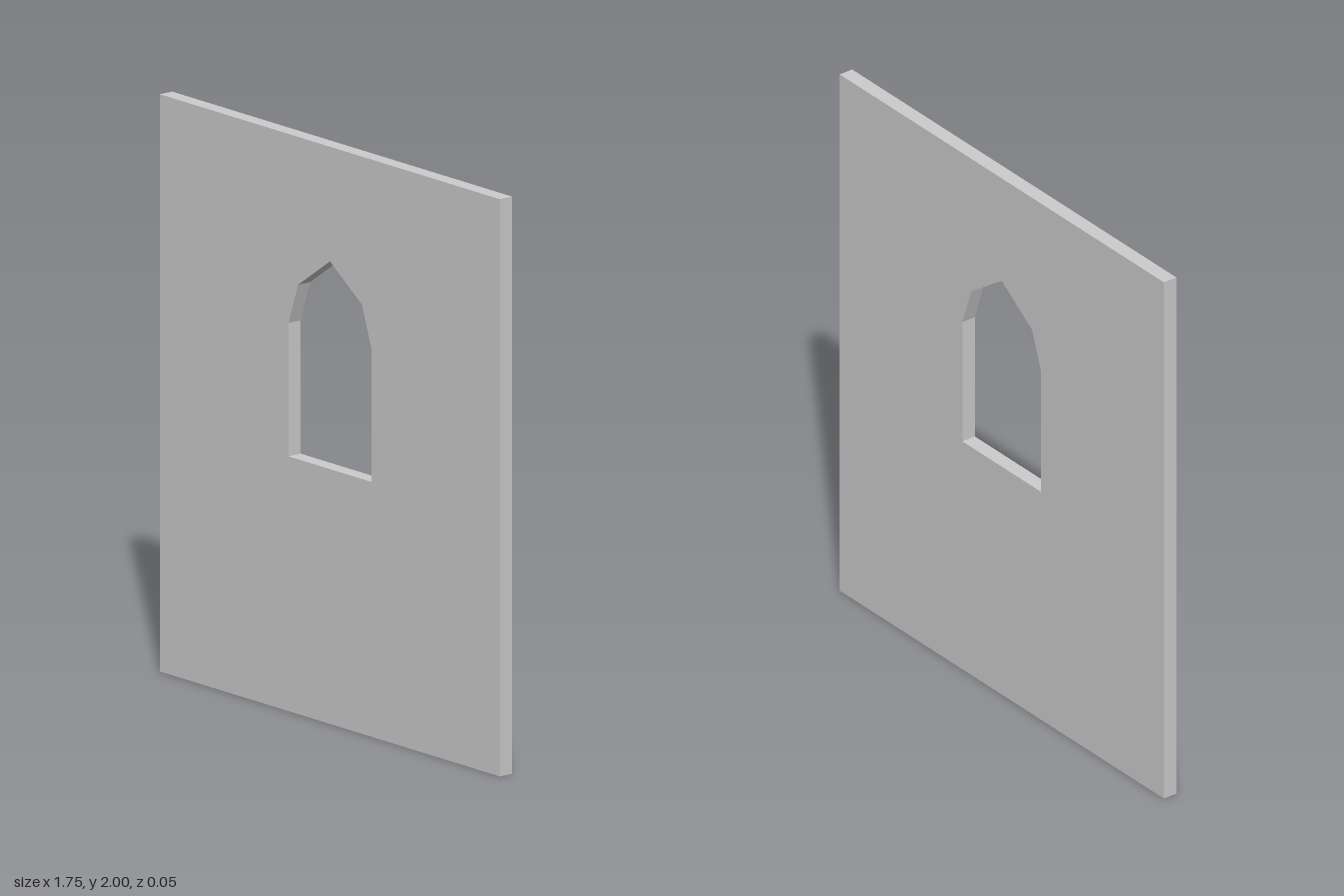
import * as THREE from 'three';

const WIDTH = 1.75, HEIGHT = 2, DEPTH = 0.053;

// Right half of the pointed window opening, from sill to shoulder
const JAMB = [[0.213, 0.883], [0.213, 1.345], [0.165, 1.487]];
const APEX = [0, 1.603];

const toPoints = (pairs) => pairs.map(([x, y]) => new THREE.Vector2(x, y));

export function createModel() {
  const group = new THREE.Group();
  group.name = 'wallWithWindow';

  // Wall outline
  const h = WIDTH / 2;
  const outline = new THREE.Shape(toPoints([[-h, 0], [h, 0], [h, HEIGHT], [-h, HEIGHT]]));

  // Pointed arch opening, mirrored about the apex
  const mirrored = JAMB.map(([x, y]) => [-x, y]).reverse();
  outline.holes.push(new THREE.Path(toPoints([...JAMB, APEX, ...mirrored])));

  // Flat slab, centred in depth
  const geometry = new THREE.ExtrudeGeometry(outline, { depth: DEPTH, bevelEnabled: false });
  geometry.translate(0, 0, -DEPTH / 2);

  const material = new THREE.MeshStandardMaterial({ color: 0xcccccc, flatShading: true });
  const wall = new THREE.Mesh(geometry, material);
  wall.name = 'wall';
  group.add(wall);
  return group;
}
